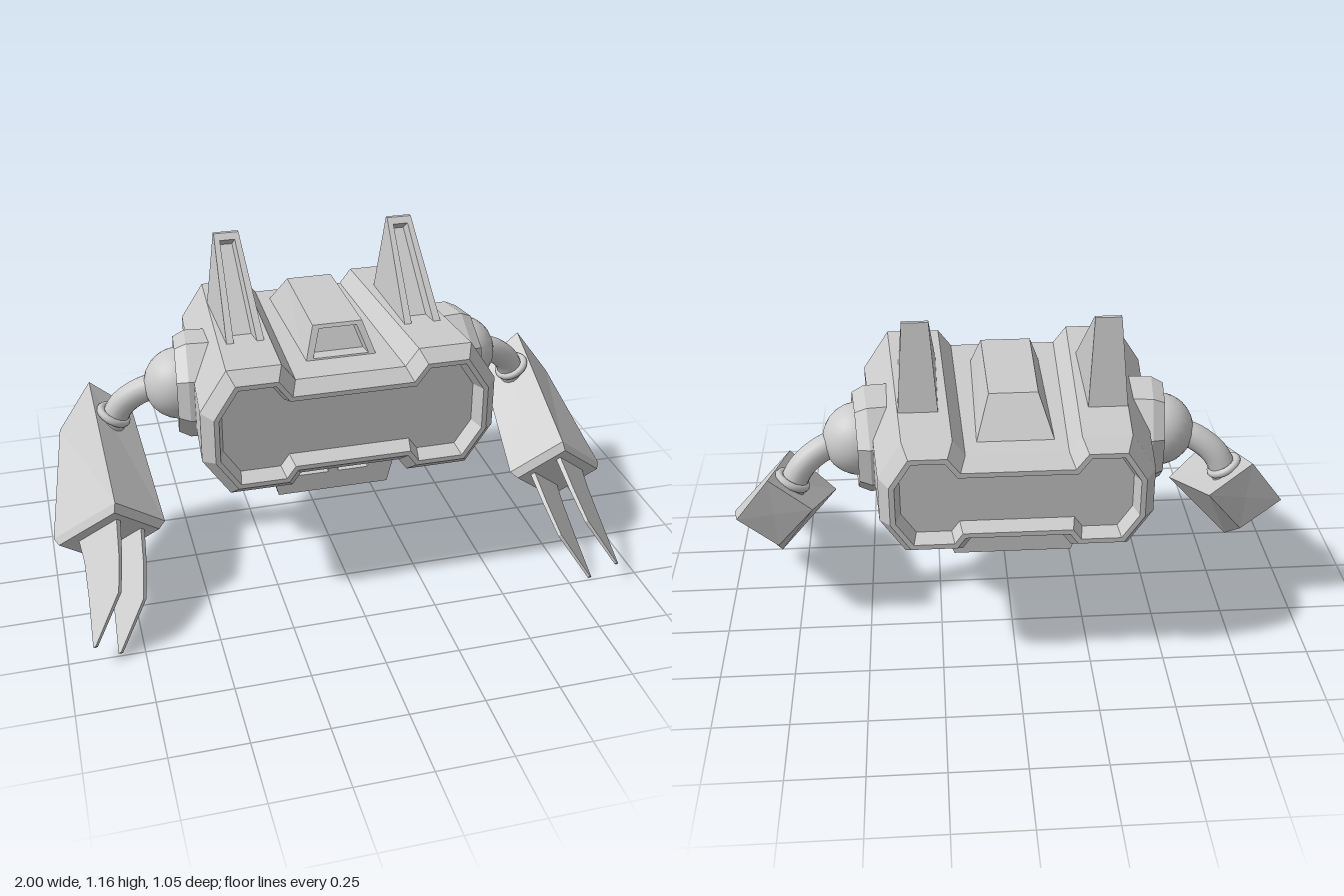
import * as THREE from 'three';

const V = (x, y, z) => new THREE.Vector3(x, y, z);
const flat = new THREE.MeshStandardMaterial({ color: 0xcccccc, flatShading: true });
const flatOpen = new THREE.MeshStandardMaterial({ color: 0xcccccc, flatShading: true, side: THREE.DoubleSide });
const smooth = new THREE.MeshStandardMaterial({ color: 0xcccccc });

function add(parent, name, geometry, material = flat) {
  const mesh = new THREE.Mesh(geometry, material);
  mesh.name = name;
  parent.add(mesh);
  return mesh;
}

const centre = (ring) => ring.reduce((a, p) => a.add(p), V(0, 0, 0)).divideScalar(ring.length);

// Closed solid through rings of equal length, with both ends capped
function loft(rings) {
  const tris = [];
  const n = rings[0].length;
  for (let r = 0; r + 1 < rings.length; r++) {
    for (let i = 0; i < n; i++) {
      const j = (i + 1) % n;
      const [a, b, c, d] = [rings[r][i], rings[r][j], rings[r + 1][j], rings[r + 1][i]];
      tris.push([a, b, c], [a, c, d]);
    }
  }
  const first = rings[0], last = rings[rings.length - 1];
  const c0 = centre(first), c1 = centre(last);
  for (let i = 0; i < n; i++) {
    const j = (i + 1) % n;
    tris.push([c0, first[j], first[i]], [c1, last[i], last[j]]);
  }
  // Turn the faces outward whichever way the rings run
  const volume = tris.reduce((s, [a, b, c]) => s + a.dot(b.clone().cross(c)), 0);
  const pts = tris.flatMap(([a, b, c]) => (volume < 0 ? [a, c, b] : [a, b, c]));
  const g = new THREE.BufferGeometry().setFromPoints(pts);
  g.computeVertexNormals();
  return g;
}

// Shrink a ring about its centre, then shift it
const shrink = (ring, kx, ky, shift = V(0, 0, 0)) => {
  const c = centre(ring);
  return ring.map((p) => V(c.x + (p.x - c.x) * kx, c.y + (p.y - c.y) * ky, c.z + (p.z - c.z) * ky).add(shift));
};

// Four-cornered ring: bottom and top half widths, heights and depths
const quad = (x, wb, yb, zb, wt, yt, zt) =>
  [V(x - wb, yb, zb), V(x + wb, yb, zb), V(x + wt, yt, zt), V(x - wt, yt, zt)];

// Move every side of a counter-clockwise outline inward by d
function inset(pts, d) {
  const n = pts.length;
  const normal = (a, b) => new THREE.Vector2(a.y - b.y, b.x - a.x).normalize();
  return pts.map((p, i) => {
    const n1 = normal(pts[(i + n - 1) % n], p), n2 = normal(p, pts[(i + 1) % n]);
    const m = n1.clone().add(n2);
    return p.clone().addScaledVector(m, d / (1 + n1.dot(n2)));
  });
}

// Hull with shoulders, centre channels and a recessed panel at each end
function addBody(root) {
  const half = [[0.17, -0.188], [0.2, -0.23], [0.41, -0.23], [0.5, -0.095],
    [0.5, 0.085], [0.41, 0.225], [0.23, 0.225], [0.185, 0.165]];
  const outline = [...half, ...half.slice().reverse().map(([x, y]) => [-x, y])]
    .map(([x, y]) => new THREE.Vector2(x, y));
  const ring = (d, z, k) => inset(outline.map((p) => p.clone().multiplyScalar(k)), d)
    .map((p) => V(p.x, p.y + 0.665, z));
  const b = 0.88;
  add(root, 'body', loft([
    ring(0.068, -0.465, b), ring(0.052, -0.517, b), ring(0.035, -0.517, b), ring(0, -0.465, b),
    ring(0, 0.29, 1), ring(0.038, 0.335, 1), ring(0.054, 0.335, 1), ring(0.072, 0.28, 1),
  ]));
}

// Raised pod on the back with a sunken front window
function addPod(root) {
  const front = quad(0, 0.125, 0.81, 0.175, 0.085, 0.93, 0.115);
  const frame = shrink(front, 0.76, 0.72, V(0, 0.005, -0.002));
  add(root, 'topPod', loft([
    quad(0, 0.125, 0.81, -0.39, 0.08, 0.93, -0.285), front, frame,
    shrink(frame, 0.9, 0.9, V(0, 0, -0.035)),
  ]));
}

// Upright fins, each with a channel in the sloping front
function addFin(root, s) {
  const x = s * 0.307;
  const front = quad(x, 0.066, 0.85, 0.125, 0.043, 1.155, -0.208);
  const frame = shrink(front, 0.6, 0.88);
  add(root, 'fin', loft([
    quad(x, 0.066, 0.85, -0.29, 0.043, 1.155, -0.222), front, frame,
    shrink(frame, 0.85, 0.97, V(0, -0.025, -0.04)),
  ]));
}

// Belly block with a two-window front plate
function addBelly(root) {
  add(root, 'belly', loft([
    quad(0, 0.2, 0.31, -0.27, 0.262, 0.49, -0.27), quad(0, 0.2, 0.254, 0.035, 0.262, 0.49, 0.035),
  ]));
  const path = (pts, T) => new T(pts.map(([x, y]) => new THREE.Vector2(x, y)));
  const plate = path([[-0.2, 0.25], [0.2, 0.25], [0.262, 0.49], [-0.262, 0.49]], THREE.Shape);
  for (const s of [-1, 1]) {
    plate.holes.push(path([[0.017, 0.32], [0.127, 0.32], [0.157, 0.435], [0.017, 0.435]]
      .map(([x, y]) => [s * x, y]), THREE.Path));
  }
  const g = new THREE.ExtrudeGeometry(plate, { depth: 0.03, bevelEnabled: false });
  add(root, 'bellyWindowFrame', g.translate(0, 0, 0.033));
}

function addArm(root, s) {
  const arm = new THREE.Group();
  arm.name = s > 0 ? 'leftArm' : 'rightArm';
  root.add(arm);
  const P = (x, y, z) => V(s * x, y, z);
  const up = V(0, 1, 0);

  // Eight-sided socket and ball
  const profile = [[0.185, -0.08], [0.185, 0.025], [0.165, 0.065], [0.125, 0.045]]
    .map(([r, h]) => new THREE.Vector2(r, h));
  const socket = add(arm, 'shoulderSocket', new THREE.LatheGeometry(profile, 8, Math.PI / 8), flatOpen);
  socket.position.copy(P(0.46, 0.665, -0.08));
  socket.quaternion.setFromUnitVectors(up, P(1, 0, -0.1).normalize());
  const ball = add(arm, 'shoulderBall', new THREE.SphereGeometry(0.125, 24, 16), smooth);
  ball.position.copy(P(0.51, 0.67, -0.085));

  // Bent upper arm and its wrist ring
  const bend = new THREE.CatmullRomCurve3([
    P(0.56, 0.67, -0.09), P(0.64, 0.645, -0.11), P(0.71, 0.59, -0.13), P(0.755, 0.5, -0.145)]);
  add(arm, 'upperArm', new THREE.TubeGeometry(bend, 16, 0.046, 14), smooth);
  const cuff = add(arm, 'cuff', new THREE.TorusGeometry(0.05, 0.014, 8, 20), smooth);
  cuff.position.copy(P(0.742, 0.545, -0.14));
  cuff.quaternion.setFromUnitVectors(V(0, 0, 1), P(0.5, -0.85, -0.1).normalize());

  // Tapered forearm with a bevelled front
  const rear = [P(0.81, 0.62, -0.262), P(0.67, 0.5, -0.262), P(0.8, 0.335, -0.222), P(0.93, 0.455, -0.235)];
  const front = [P(0.79, 0.435, 0.255), P(0.625, 0.297, 0.195), P(0.83, 0.11, 0.085), P(0.998, 0.25, 0.14)];
  add(arm, 'forearm', loft([rear, front, shrink(front, 0.9, 0.9, P(0.004, -0.013, 0.024))]));

  // Two thin curved claw blades side by side
  const base = P(0.81, 0.275, 0.18);
  const along = P(0.06, -0.235, 0.33);
  const across = P(0.68, -0.61, -0.39).normalize();
  const side = along.clone().cross(across).normalize();
  if (side.x * s < 0) side.negate();
  const blade = [[-0.1, -0.1], [0.02, -0.1], [0.35, -0.113], [0.655, -0.113],
    [1, -0.006], [1, 0.006], [0.58, 0.03], [0.25, 0.055], [0, 0.09], [-0.1, 0.09]];
  for (const offset of [-0.055, 0.055]) {
    const face = (t) => blade.map(([u, v]) => base.clone().addScaledVector(along, u)
      .addScaledVector(across, v).addScaledVector(side, offset + t * (1 - 0.5 * u)));
    add(arm, 'claw', loft([face(-0.009), face(0.009)]));
  }
}

export function createModel() {
  const root = new THREE.Group();
  root.name = 'clawedWalker';
  addBody(root);
  addPod(root);
  addBelly(root);
  for (const s of [-1, 1]) {
    addFin(root, s);
    addArm(root, s);
  }
  return root;
}
